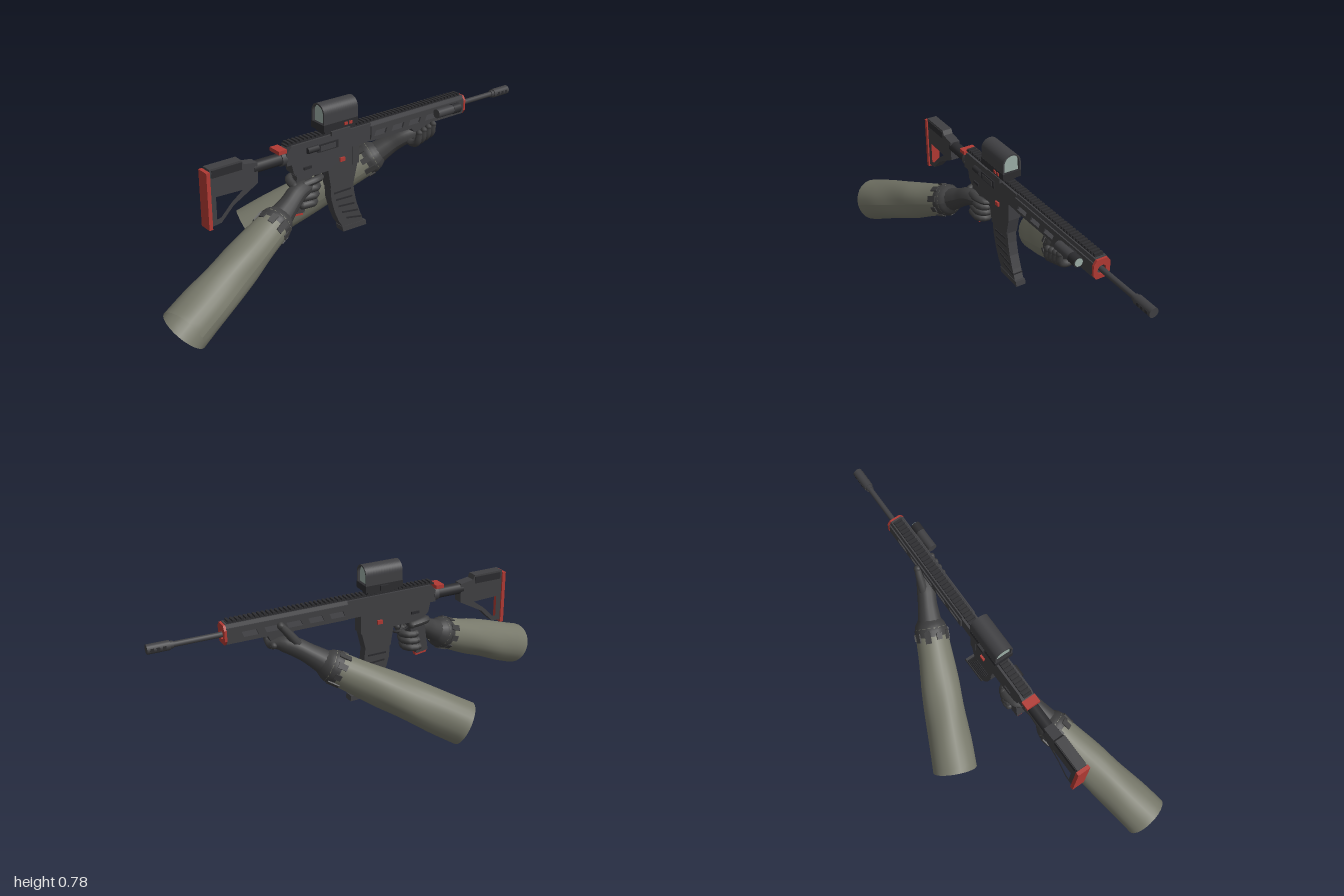
import * as THREE from 'three';

const mat = (name, color, side = THREE.FrontSide) => {
  const m = new THREE.MeshStandardMaterial({ color, side });
  m.name = name;
  return m;
};

export function createModel() {
  const gunmetal = mat('gunmetal', 0x404043);
  const black = mat('black', 0x2c2c2f);
  const gloveMat = mat('glove grey', 0x3f3f40, THREE.DoubleSide);
  const sleeveMat = mat('olive sleeve', 0x77786a, THREE.DoubleSide);
  const red = mat('red', 0xb23a34);
  const glass = mat('glass', 0x9db0a8, THREE.DoubleSide);

  const root = new THREE.Group();
  const rifle = new THREE.Group();
  rifle.name = 'rifle';
  rifle.position.x = 0.063;
  root.add(rifle);

  const add = (parent, name, geo, m) => {
    const mesh = new THREE.Mesh(geo, m);
    mesh.name = name;
    parent.add(mesh);
    return mesh;
  };
  // Box given by its limits on each axis
  const box = (name, x0, x1, y0, y1, z0, z1, m) => {
    const mesh = add(rifle, name, new THREE.BoxGeometry(x1 - x0, y1 - y0, z1 - z0), m);
    mesh.position.set((x0 + x1) / 2, (y0 + y1) / 2, (z0 + z1) / 2);
    return mesh;
  };
  // Cylinder along z
  const rod = (name, r, x, y, z0, z1, m, sides = 16) => {
    const geo = new THREE.CylinderGeometry(r, r, z1 - z0, sides).rotateX(Math.PI / 2);
    add(rifle, name, geo, m).position.set(x, y, (z0 + z1) / 2);
  };
  const toShape = (pts) => new THREE.Shape(pts.map((p) => new THREE.Vector2(p[0], p[1])));
  // Side profile of [z, y] points extruded across x
  const profile = (name, pts, width, m, holes = [], x = 0) => {
    const s = toShape(pts);
    holes.forEach((h) => s.holes.push(toShape(h)));
    const geo = new THREE.ExtrudeGeometry(s, { depth: width, bevelEnabled: false });
    geo.translate(0, 0, -width / 2).rotateY(-Math.PI / 2);
    add(rifle, name, geo, m).position.x = x;
  };
  // Smooth limb along points, radius eased between the given radii
  const limb = (parent, name, pts, radii, m, { sides = 14, steps = 16, wobble = 0 } = {}) => {
    const curve = new THREE.CatmullRomCurve3(pts.map((p) => new THREE.Vector3(...p)));
    const geo = new THREE.TubeGeometry(curve, steps, 1, sides, false);
    const pos = geo.attributes.position, v = new THREE.Vector3();
    for (let i = 0; i <= steps; i++) {
      const t = i / steps, c = curve.getPointAt(t);
      const f = t * (radii.length - 1), k = Math.min(Math.floor(f), radii.length - 2);
      const r = THREE.MathUtils.lerp(radii[k], radii[k + 1], f - k);
      for (let j = 0; j <= sides; j++) {
        const a = (j / sides) * Math.PI * 2, n = i * (sides + 1) + j;
        const w = 1 + wobble * Math.sin(3 * a + t * 9) * Math.sin(t * Math.PI);
        v.fromBufferAttribute(pos, n).sub(c).multiplyScalar(r * w).add(c);
        pos.setXYZ(n, v.x, v.y, v.z);
      }
    }
    geo.computeVertexNormals();
    add(parent, name, geo, m);
  };

  // Stock with an open triangular frame, and butt plate
  profile('stock', [[0.69, 0.39], [0.645, 0.395], [0.585, 0.455], [0.465, 0.52], [0.465, 0.61],
    [0.53, 0.62], [0.54, 0.64], [0.69, 0.64]], 0.046, gunmetal,
    [[[0.665, 0.415], [0.645, 0.42], [0.595, 0.47], [0.54, 0.51], [0.665, 0.515]]]);
  box('cheekRest', -0.026, 0.026, 0.6, 0.632, 0.54, 0.68, black);
  box('buttPlate', -0.03, 0.03, 0.38, 0.63, 0.69, 0.707, red);
  rod('bufferTube', 0.026, 0, 0.583, 0.3, 0.48, black);
  rod('bufferNut', 0.032, 0, 0.583, 0.32, 0.345, gunmetal);

  // Receiver, magazine well and charging handle
  profile('upperReceiver', [[0.325, 0.555], [-0.12, 0.555], [-0.12, 0.638], [0.3, 0.638], [0.325, 0.61]], 0.06, gunmetal);
  profile('lowerReceiver', [[0.3, 0.556], [0.29, 0.51], [0.25, 0.475], [0.11, 0.475], [0.095, 0.385],
    [-0.03, 0.385], [-0.05, 0.47], [-0.05, 0.556]], 0.054, gunmetal);
  box('wellRim', -0.03, 0.03, 0.47, 0.556, -0.055, -0.02, gunmetal);
  box('chargingHandle', -0.036, 0.03, 0.615, 0.632, 0.325, 0.365, red);
  box('ejectionPort', 0.028, 0.034, 0.575, 0.61, 0.06, 0.17, black);
  box('boltCover', 0.033, 0.036, 0.58, 0.603, 0.075, 0.155, gunmetal);
  rod('forwardAssist', 0.014, 0.034, 0.6, 0.17, 0.225, black, 10);
  for (const s of [-1, 1]) {
    box('magazineButton', s * 0.031 - 0.005, s * 0.031 + 0.005, 0.502, 0.52, 0.025, 0.05, red);
    box('selector', s * 0.029 - 0.004, s * 0.029 + 0.004, 0.515, 0.527, 0.2, 0.24, black);
  }
  limb(rifle, 'triggerGuard', [[0, 0.48, 0.115], [0, 0.44, 0.12], [0, 0.43, 0.16], [0, 0.445, 0.2], [0, 0.48, 0.21]],
    [0.006, 0.006], black, { sides: 6 });
  limb(rifle, 'trigger', [[0, 0.48, 0.155], [0, 0.46, 0.16], [0, 0.44, 0.15]], [0.006, 0.004], black, { sides: 6, steps: 6 });

  // Pistol grip
  profile('pistolGrip', [[0.27, 0.49], [0.295, 0.32], [0.235, 0.312], [0.19, 0.48]], 0.042, gunmetal);
  profile('gripCap', [[0.295, 0.322], [0.292, 0.305], [0.236, 0.298], [0.234, 0.313]], 0.024, red);

  // Curved magazine with side ribs and floor plate
  profile('magazine', [[0.095, 0.4], [0.09, 0.33], [0.07, 0.26], [0.048, 0.21], [0.022, 0.17],
    [-0.095, 0.165], [-0.072, 0.22], [-0.05, 0.28], [-0.036, 0.34], [-0.03, 0.4]], 0.044, gunmetal);
  for (let i = 0; i < 5; i++) {
    const y = 0.355 - i * 0.037, z = 0.028 - 0.0045 * i - 0.003 * i * i;
    const rib = box('magazineRib', -0.0245, 0.0245, y - 0.004, y + 0.004, z - 0.045, z + 0.045, black);
    rib.rotation.x = -0.05 * i;
  }
  profile('magazineFloor', [[0.03, 0.178], [0.024, 0.152], [-0.108, 0.148], [-0.104, 0.172]], 0.048, gunmetal);

  // Handguard: slotted side plates, top, bottom and red front ring
  const slots = [];
  for (let i = 0; i < 5; i++) {
    const z = -0.17 - i * 0.1;
    slots.push([[z + 0.035, 0.575], [z + 0.025, 0.6], [z - 0.04, 0.6], [z - 0.03, 0.575]]);
  }
  for (const s of [-1, 1]) {
    profile('handguardSide', [[-0.118, 0.563], [-0.118, 0.625], [-0.675, 0.625], [-0.675, 0.563]], 0.008, gunmetal, slots, s * 0.033);
  }
  const capShape = (y0, y1) => toShape([[-0.037, y0], [0.037, y0], [0.026, y1], [-0.026, y1]]);
  add(rifle, 'handguardTop', new THREE.ExtrudeGeometry(capShape(0.61, 0.64), { depth: 0.557, bevelEnabled: false }), gunmetal).position.z = -0.675;
  box('handguardBottom', -0.03, 0.03, 0.553, 0.572, -0.675, -0.118, gunmetal);
  const ring = toShape([[-0.025, 0.55], [0.025, 0.55], [0.039, 0.57], [0.039, 0.618], [0.025, 0.638], [-0.025, 0.638], [-0.039, 0.618], [-0.039, 0.57]]);
  ring.holes.push(new THREE.Path().absarc(0, 0.59, 0.02, 0, Math.PI * 2, true));
  add(rifle, 'frontRing', new THREE.ExtrudeGeometry(ring, { depth: 0.011, bevelEnabled: false }), red).position.z = -0.685;

  // Toothed top rail
  box('railBase', -0.02, 0.02, 0.636, 0.643, -0.665, 0.32, black);
  for (let z = 0.31; z > -0.665; z -= 0.02) box('railTooth', -0.02, 0.02, 0.642, 0.652, z - 0.011, z, black);

  // Barrel and slotted muzzle
  rod('barrel', 0.012, 0, 0.59, -0.91, -0.6, gunmetal);
  rod('muzzleCollar', 0.016, 0, 0.59, -0.905, -0.89, gunmetal);
  rod('muzzle', 0.021, 0, 0.59, -1, -0.905, gunmetal);
  for (const z of [-0.93, -0.955, -0.98]) box('muzzleSlot', -0.0215, 0.0215, 0.583, 0.597, z - 0.007, z + 0.007, black);

  // Side lamp
  rod('lamp', 0.021, 0.062, 0.605, -0.605, -0.48, gunmetal);
  rod('lampHead', 0.023, 0.062, 0.605, -0.618, -0.575, black);
  rod('lampLens', 0.018, 0.062, 0.605, -0.621, -0.617, glass);
  box('lampMount', 0.034, 0.055, 0.595, 0.615, -0.57, -0.52, black);

  // Optic: arched hood, base, lenses and knobs
  const arch = (w, y0, Curve) => new Curve().moveTo(-w, y0).lineTo(w, y0).lineTo(w, 0.738).absarc(0, 0.738, w, 0, Math.PI, false).lineTo(-w, y0);
  const hood = arch(0.0435, 0.68, THREE.Shape);
  hood.holes.push(arch(0.036, 0.694, THREE.Path));
  add(rifle, 'opticHood', new THREE.ExtrudeGeometry(hood, { depth: 0.18, bevelEnabled: false, curveSegments: 16 }), gunmetal).position.z = -0.036;
  const lens = new THREE.ShapeGeometry(arch(0.037, 0.69, THREE.Shape), 16);
  for (const z of [-0.024, 0.132]) add(rifle, 'opticLens', lens, glass).position.z = z;
  box('opticBase', -0.044, 0.044, 0.665, 0.695, -0.037, 0.146, black);
  box('opticMount', -0.03, 0.03, 0.65, 0.667, -0.02, 0.13, black);
  box('mountClamp', 0.028, 0.04, 0.635, 0.655, 0, 0.1, gunmetal);
  box('opticKnob', -0.055, -0.043, 0.668, 0.69, 0.03, 0.07, black);
  for (const z of [0.005, 0.03]) box('opticButton', 0.043, 0.048, 0.673, 0.686, z - 0.008, z + 0.008, red);

  // Arms: open sleeve, ragged glove cuff, wrist
  const arm = (side, end, top, wrist) => {
    const g = new THREE.Group();
    g.name = side + 'Arm';
    root.add(g);
    const e = new THREE.Vector3(...end), t = new THREE.Vector3(...top);
    const at = (f) => e.clone().lerp(t, f).toArray();
    limb(g, 'sleeve', [end, at(0.35), at(0.7), top], [0.101, 0.098, 0.092, 0.088, 0.078, 0.071], sleeveMat, { sides: 24, steps: 24, wobble: 0.025 });
    limb(g, 'cuff', [at(0.94), at(1), at(1.06)], [0.074, 0.075, 0.067, 0.05], gloveMat, { sides: 18, steps: 9 });
    const dir = t.clone().sub(e).normalize();
    const q = new THREE.Quaternion().setFromUnitVectors(new THREE.Vector3(0, 1, 0), dir);
    for (let i = 0; i < 9; i++) {
      const a = (i / 9) * Math.PI * 2;
      const tab = add(g, 'cuffTab', new THREE.BoxGeometry(0.026, 0.03 + 0.012 * (i % 3), 0.008), gloveMat);
      tab.position.set(Math.sin(a) * 0.074, -0.04, Math.cos(a) * 0.074).applyQuaternion(q).add(t);
      tab.quaternion.copy(q).multiply(new THREE.Quaternion().setFromAxisAngle(new THREE.Vector3(0, 1, 0), a));
    }
    limb(g, 'wrist', [at(1), ...wrist], [0.058, 0.05, 0.043, 0.042, 0.036, 0.014], gloveMat);
    return g;
  };
  const finger = (g, name, pts, r = 0.016) => {
    limb(g, name, pts, [r, r * 1.1, r, r * 0.85], gloveMat, { sides: 8, steps: 10 });
    for (const p of [pts[0], pts[pts.length - 1]]) {
      add(g, name + 'End', new THREE.SphereGeometry(r * 0.95, 8, 6), gloveMat).position.set(...p);
    }
  };

  // Firing hand wrapped round the pistol grip
  const rightArm = arm('right', [0.288, 0.115, 0.955], [0.135, 0.348, 0.41],
    [[0.118, 0.39, 0.34], [0.1, 0.425, 0.28], [0.09, 0.435, 0.22], [0.085, 0.43, 0.19]]);
  for (let i = 0; i < 3; i++) {
    const y = 0.425 - i * 0.034, z = 0.008 * i;
    finger(rightArm, 'finger', [[0.1, y, 0.24 + z], [0.1, y, 0.18 + z], [0.063, y - 0.005, 0.165 + z], [0.032, y - 0.008, 0.195 + z], [0.034, y - 0.008, 0.225 + z]], 0.017);
  }
  finger(rightArm, 'indexFinger', [[0.105, 0.455, 0.25], [0.108, 0.462, 0.19], [0.09, 0.458, 0.15], [0.066, 0.455, 0.145]], 0.015);
  finger(rightArm, 'thumb', [[0.09, 0.455, 0.29], [0.045, 0.47, 0.285], [0.028, 0.47, 0.24], [0.028, 0.465, 0.2]], 0.017);

  // Support hand cupped under the handguard
  const leftArm = arm('left', [-0.29, 0.093, 0.288], [-0.05, 0.4, -0.25],
    [[-0.015, 0.45, -0.32], [0.015, 0.485, -0.375], [0.04, 0.505, -0.43], [0.055, 0.51, -0.475]]);
  for (let i = 0; i < 4; i++) {
    const z = -0.385 - i * 0.028, y = 0.47 + i * 0.008;
    finger(leftArm, 'finger', [[0.035, y + 0.01, z], [0.075, y, z], [0.108, y + 0.015, z], [0.113, y + 0.06, z - 0.004]], 0.016);
  }
  finger(leftArm, 'thumb', [[-0.005, 0.49, -0.36], [0.005, 0.53, -0.39], [0.012, 0.57, -0.42], [0.018, 0.595, -0.44]], 0.018);

  // Angled foregrip
  profile('foregrip', [[-0.36, 0.556], [-0.39, 0.525], [-0.45, 0.5], [-0.475, 0.52], [-0.49, 0.556]], 0.036, gunmetal);

  return root;
}
